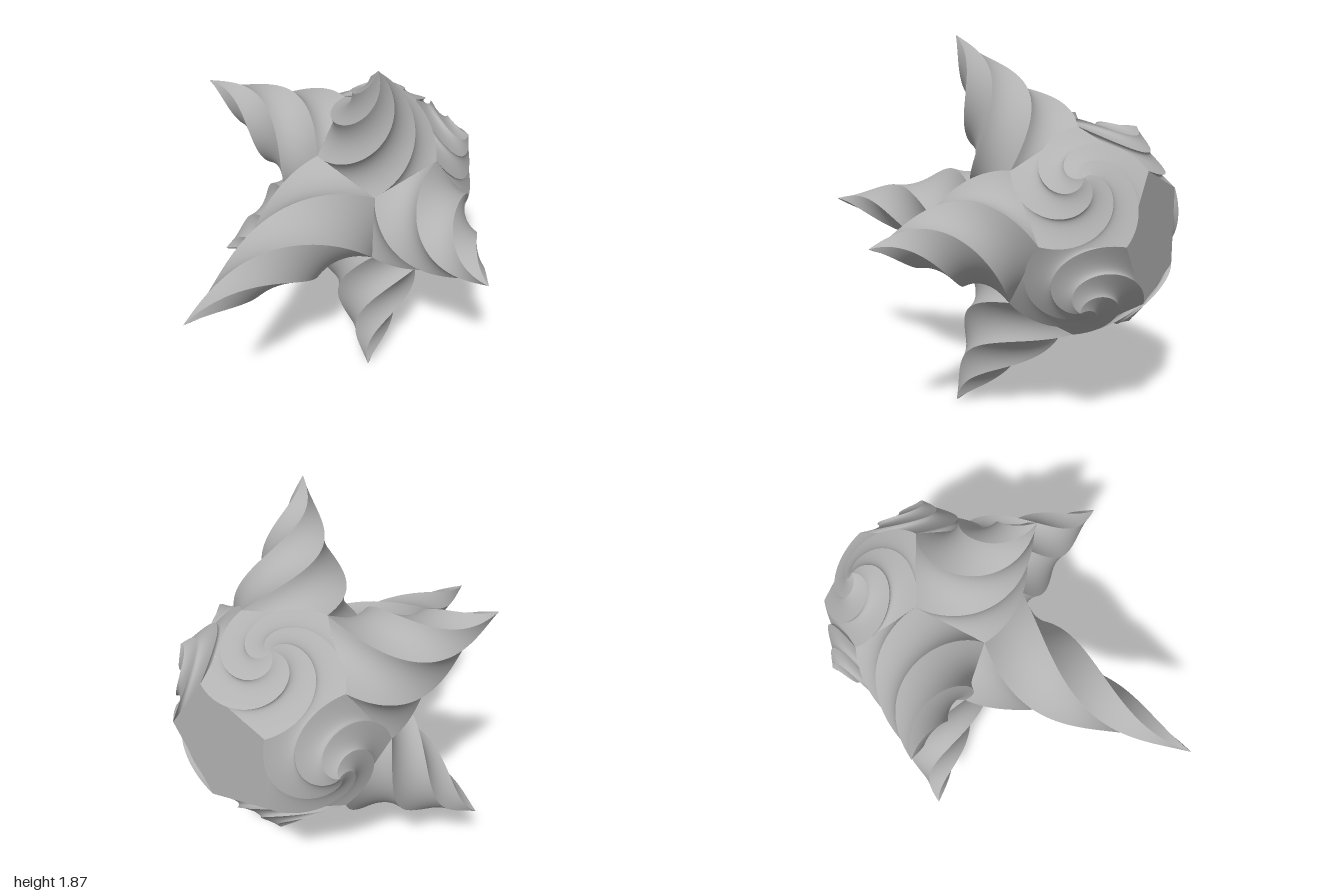
import * as THREE from 'three';
import { mergeGeometries } from 'three/addons/utils/BufferGeometryUtils.js';

const BASE = 0.33;      // circumradius of each pentagon face
const INNER = 0.432;    // distance from the core centre to each face
const TWIST = Math.PI;  // half a turn from base to tip
const STEP = Math.PI * 2 / 5;

// One side of a twisted pyramid: a strip swept from a base edge to the tip
function sidePanel(k, height, rows = 56, cols = 10) {
  const pos = [], index = [];
  const a = new THREE.Vector2(BASE, 0).rotateAround(new THREE.Vector2(), k * STEP);
  const b = new THREE.Vector2(BASE, 0).rotateAround(new THREE.Vector2(), (k + 1) * STEP);
  for (let i = 0; i <= rows; i++) {
    const t = i / rows, c = Math.cos(t * TWIST), s = Math.sin(t * TWIST);
    for (let j = 0; j <= cols; j++) {
      const p = a.clone().lerp(b, j / cols).multiplyScalar(1 - t);
      pos.push(p.x * c - p.y * s, p.x * s + p.y * c, t * height);
    }
  }
  const w = cols + 1;
  for (let i = 0; i < rows; i++) {
    for (let j = 0; j < cols; j++) {
      const q = i * w + j;
      index.push(q, q + 1, q + w);
      if (i < rows - 1) index.push(q + 1, q + w + 1, q + w);
    }
  }
  const g = new THREE.BufferGeometry();
  g.setAttribute('position', new THREE.Float32BufferAttribute(pos, 3));
  g.setIndex(index);
  g.computeVertexNormals();
  return g;
}

// Five smooth panels meeting at sharp spiral ridges
function twistedSpike(height) {
  return mergeGeometries([0, 1, 2, 3, 4].map(k => sidePanel(k, height)));
}

export function createModel() {
  const group = new THREE.Group();
  group.name = 'twistedStar';
  const grey = new THREE.MeshStandardMaterial({ color: 0xb2b2b2 });
  grey.name = 'grey';
  const centre = new THREE.Vector3(-0.094, 0.937, -0.568);

  // Seats a part on a core face: n points outward, u towards one corner
  function addOnFace(name, geometry, n, u) {
    n.normalize();
    u.normalize();
    const v = n.clone().cross(u);
    const mesh = new THREE.Mesh(geometry, grey);
    mesh.name = name;
    mesh.applyMatrix4(new THREE.Matrix4().makeBasis(u, v, n));
    mesh.position.copy(centre).addScaledVector(n, INNER);
    group.add(mesh);
  }

  // Long front spike and flat back face
  addOnFace('frontSpike', twistedSpike(1.136), new THREE.Vector3(0, 0, 1), new THREE.Vector3(-1, 0, 0));
  addOnFace('backFace', new THREE.CircleGeometry(BASE, 5), new THREE.Vector3(0, 0, -1), new THREE.Vector3(1, 0, 0));

  // Ring of five star arms, and ring of five low swirls behind them
  const arm = twistedSpike(0.666), swirl = twistedSpike(0.152);
  for (let k = 0; k < 5; k++) {
    const p = k * STEP, q = p + STEP / 2;
    addOnFace('starArm' + (k + 1), arm,
      new THREE.Vector3(2 * Math.cos(p), 2 * Math.sin(p), 1),
      new THREE.Vector3(Math.cos(p), Math.sin(p), -2));
    addOnFace('lowSwirl' + (k + 1), swirl,
      new THREE.Vector3(2 * Math.cos(q), 2 * Math.sin(q), -1),
      new THREE.Vector3(Math.cos(q), Math.sin(q), 2));
  }
  return group;
}
